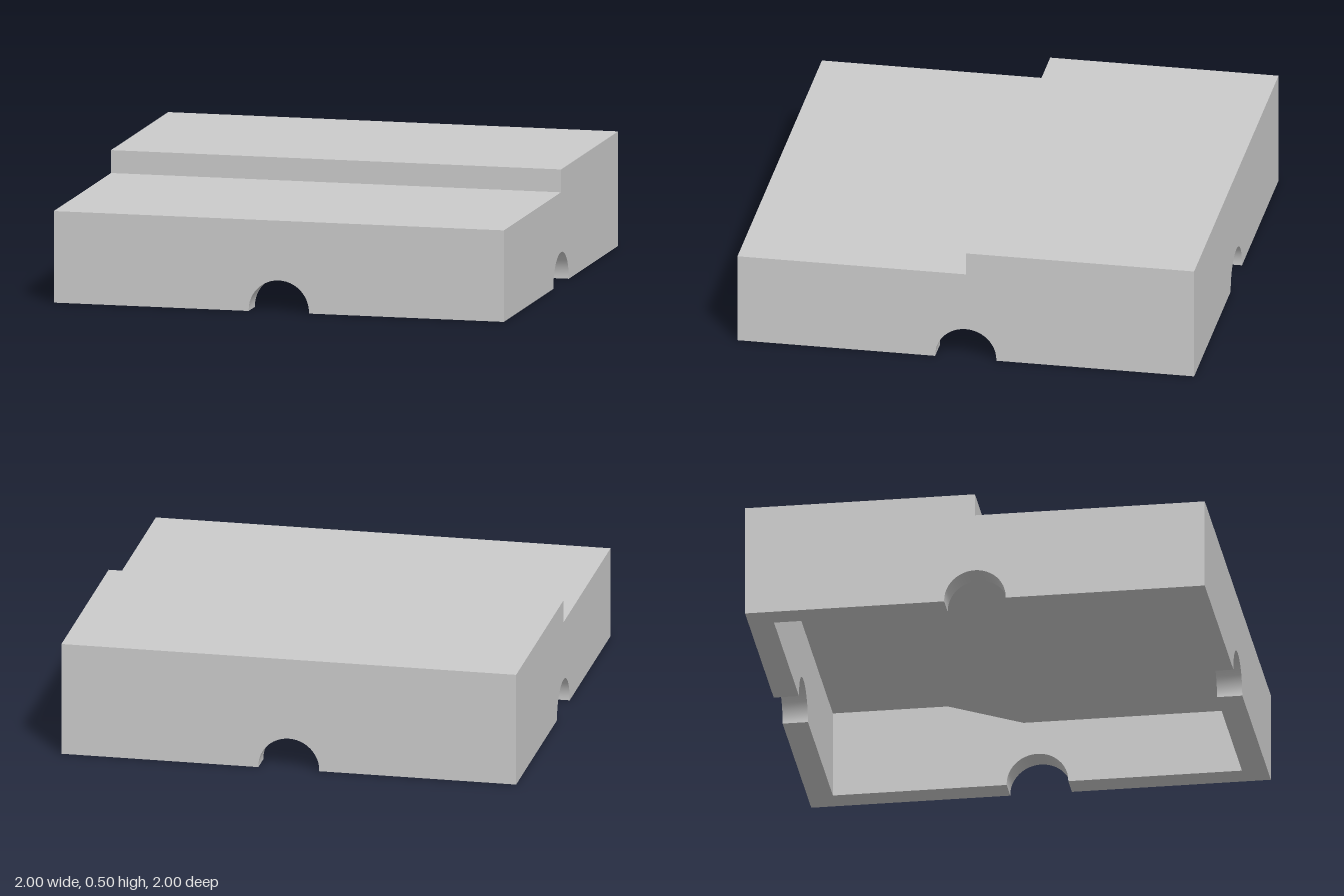
import * as THREE from 'three';
import { toCreasedNormals } from 'three/addons/utils/BufferGeometryUtils.js';

const OUT = 1, IN = 0.89;             // outer and inner half-widths
const NOTCH_R = 0.134, NOTCH_Y = 0.005, NOTCH_SEGS = 24;

const material = new THREE.MeshStandardMaterial({ color: 0xcccccc });

// Quad strip between two matching rows of points
function ribbon(a, b) {
  const pos = [];
  for (let i = 0; i < a.length - 1; i++) {
    for (const p of [a[i], b[i], b[i + 1], a[i], b[i + 1], a[i + 1]]) pos.push(...p);
  }
  const g = new THREE.BufferGeometry();
  g.setAttribute('position', new THREE.Float32BufferAttribute(pos, 3));
  return toCreasedNormals(g, 0.5);
}

// Bottom edge of a wall: straight, with a half-round notch in the middle
function bottomEdge(half) {
  const pts = [[-half, 0], [-NOTCH_R, 0]];
  for (let i = 0; i <= NOTCH_SEGS; i++) {
    const t = Math.PI * (1 - i / NOTCH_SEGS);
    pts.push([NOTCH_R * Math.cos(t), NOTCH_Y + NOTCH_R * Math.sin(t)]);
  }
  pts.push([NOTCH_R, 0], [half, 0]);
  return pts;
}

function face(points) {
  return new THREE.ShapeGeometry(new THREE.Shape(points.map(([u, v]) => new THREE.Vector2(u, v))));
}

const mirror = (pts) => pts.map(([u, v]) => [-u, v]).reverse();

function add(parent, name, geometry) {
  const mesh = new THREE.Mesh(geometry, material);
  mesh.name = name;
  parent.add(mesh);
}

// One wall facing local +z; top edges run from +u to -u
function wall(name, angle, outerTop, innerTop) {
  const g = new THREE.Group();
  g.name = name;
  const outer = bottomEdge(OUT), inner = bottomEdge(IN);
  add(g, 'outerFace', face([...outer, ...outerTop]).translate(0, 0, OUT));
  add(g, 'innerFace', face(mirror([...inner, ...innerTop])).rotateY(Math.PI).translate(0, 0, IN));
  add(g, 'rimAndNotch', ribbon(outer.map(([u, v]) => [u, v, OUT]), inner.map(([u, v]) => [u, v, IN])));
  g.rotation.y = angle;
  return g;
}

export function createModel() {
  const model = new THREE.Group();
  model.name = 'steppedTile';

  // Roof profiles as (z, y), front to back
  const top = [[OUT, 0.4], [0, 0.4], [0, 0.5], [-OUT, 0.5]];
  const ceiling = [[IN, 0.29], [-0.06, 0.29], [-0.39, 0.39], [-IN, 0.39]];
  const level = (half, y) => [[half, y], [-half, y]];

  model.add(
    wall('frontWall', 0, level(OUT, 0.4), level(IN, 0.29)),
    wall('backWall', Math.PI, level(OUT, 0.5), level(IN, 0.39)),
    wall('leftWall', Math.PI / 2, mirror(top), mirror(ceiling)),
    wall('rightWall', -Math.PI / 2, top, ceiling),
  );

  // Stepped top and sloped-step ceiling
  const row = (pts, x) => pts.map(([z, y]) => [x, y, z]);
  add(model, 'steppedTop', ribbon(row(top, -OUT), row(top, OUT)));
  add(model, 'ceiling', ribbon(row(ceiling, IN), row(ceiling, -IN)));

  return model;
}
